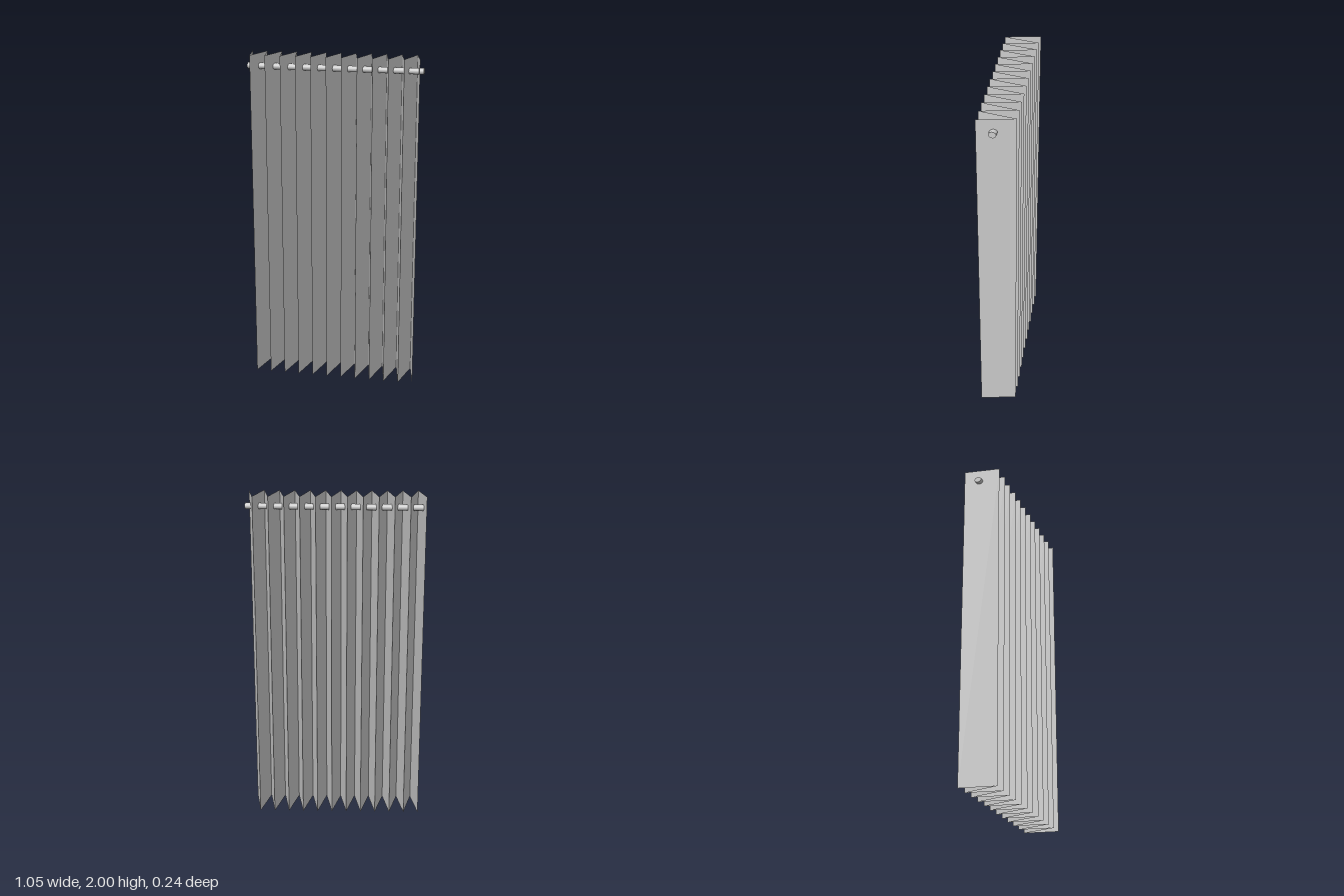
import * as THREE from 'three';

const HEIGHT = 2;
const FOLDS = 24; // number of fold lines, both edges included
const STEP = 0.0451;

export function createModel() {
  const model = new THREE.Group();
  model.name = 'pleatedCurtain';

  // Pleated cloth: a flat sheet folded into a zigzag, turned slightly about the rod
  const clothGeometry = new THREE.PlaneGeometry(1, HEIGHT, FOLDS - 1, 1);
  const position = clothGeometry.attributes.position;
  for (let i = 0; i < position.count; i++) {
    const fold = i % FOLDS;
    const z = (fold % 2 ? 0.1225 : -0.0885) - 0.0014 * fold;
    position.setXYZ(i, -0.523 + STEP * fold, position.getY(i) + HEIGHT / 2, z);
  }
  const flatCloth = clothGeometry.toNonIndexed();
  flatCloth.computeVertexNormals();
  const cloth = new THREE.Mesh(
    flatCloth,
    new THREE.MeshStandardMaterial({ color: 0xcccccc, flatShading: true, side: THREE.DoubleSide })
  );
  cloth.name = 'pleatedCloth';
  model.add(cloth);

  // Oval rod threaded through every pleat
  const rodGeometry = new THREE.CylinderGeometry(1, 1, 1.052, 32);
  rodGeometry.rotateZ(Math.PI / 2);
  rodGeometry.scale(1, 0.018, 0.0215);
  const rod = new THREE.Mesh(rodGeometry, new THREE.MeshStandardMaterial({ color: 0xcccccc }));
  rod.name = 'curtainRod';
  rod.position.set(0, 1.923, 0);
  model.add(rod);

  return model;
}
